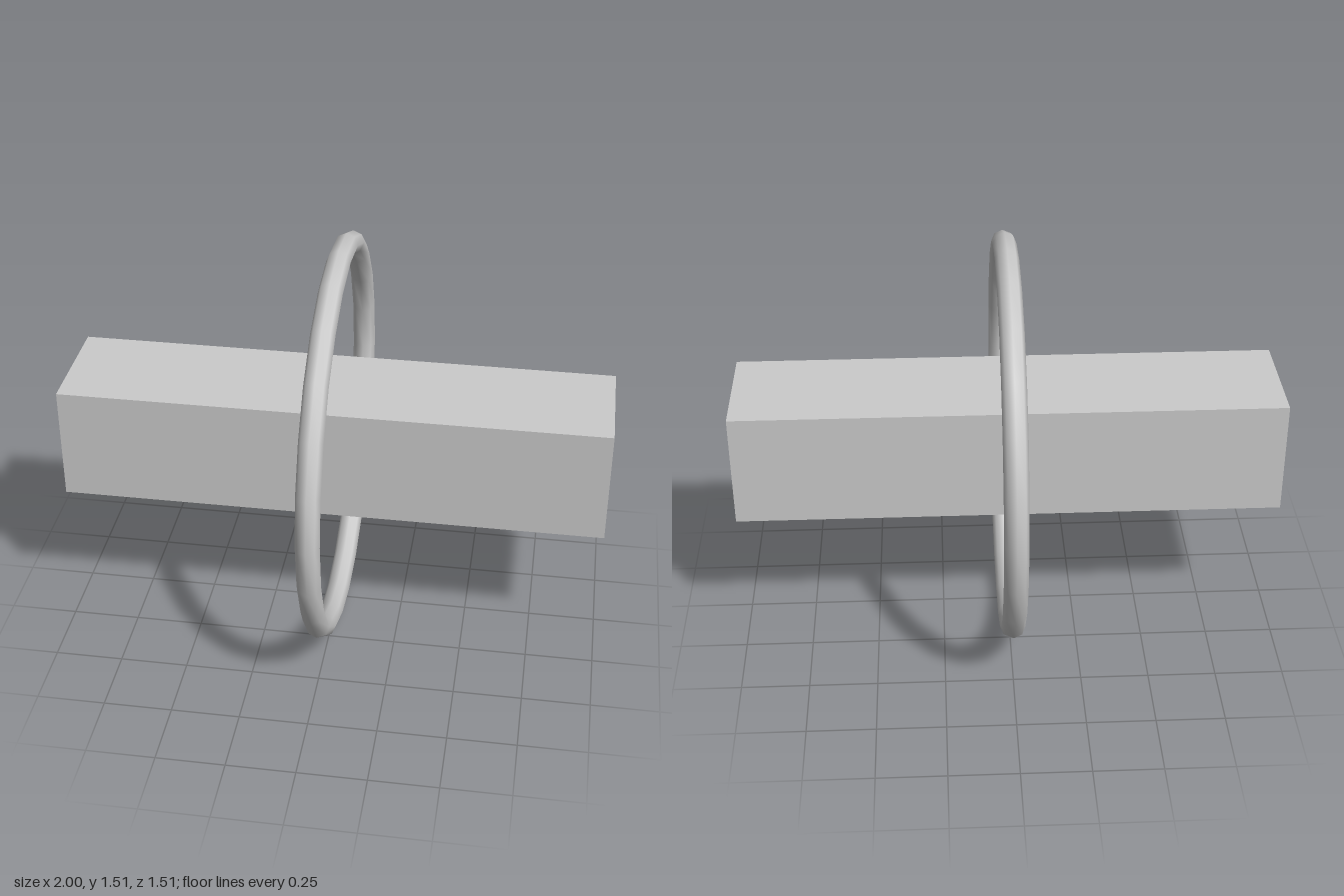
import * as THREE from 'three';

export function createModel() {
  const model = new THREE.Group();
  const material = new THREE.MeshStandardMaterial({ color: 0xcccccc });
  const ringRadius = 0.714, tubeRadius = 0.043;
  const centreY = ringRadius + tubeRadius;

  function add(name, geometry) {
    const mesh = new THREE.Mesh(geometry, material);
    mesh.name = name;
    mesh.position.y = centreY;
    model.add(mesh);
    return mesh;
  }

  // Long square bar lying along x
  add('bar', new THREE.BoxGeometry(2, 0.428, 0.428));

  // Thin upright ring circling the middle of the bar
  add('ring', new THREE.TorusGeometry(ringRadius, tubeRadius, 8, 24)).rotation.y = Math.PI / 2;

  return model;
}
